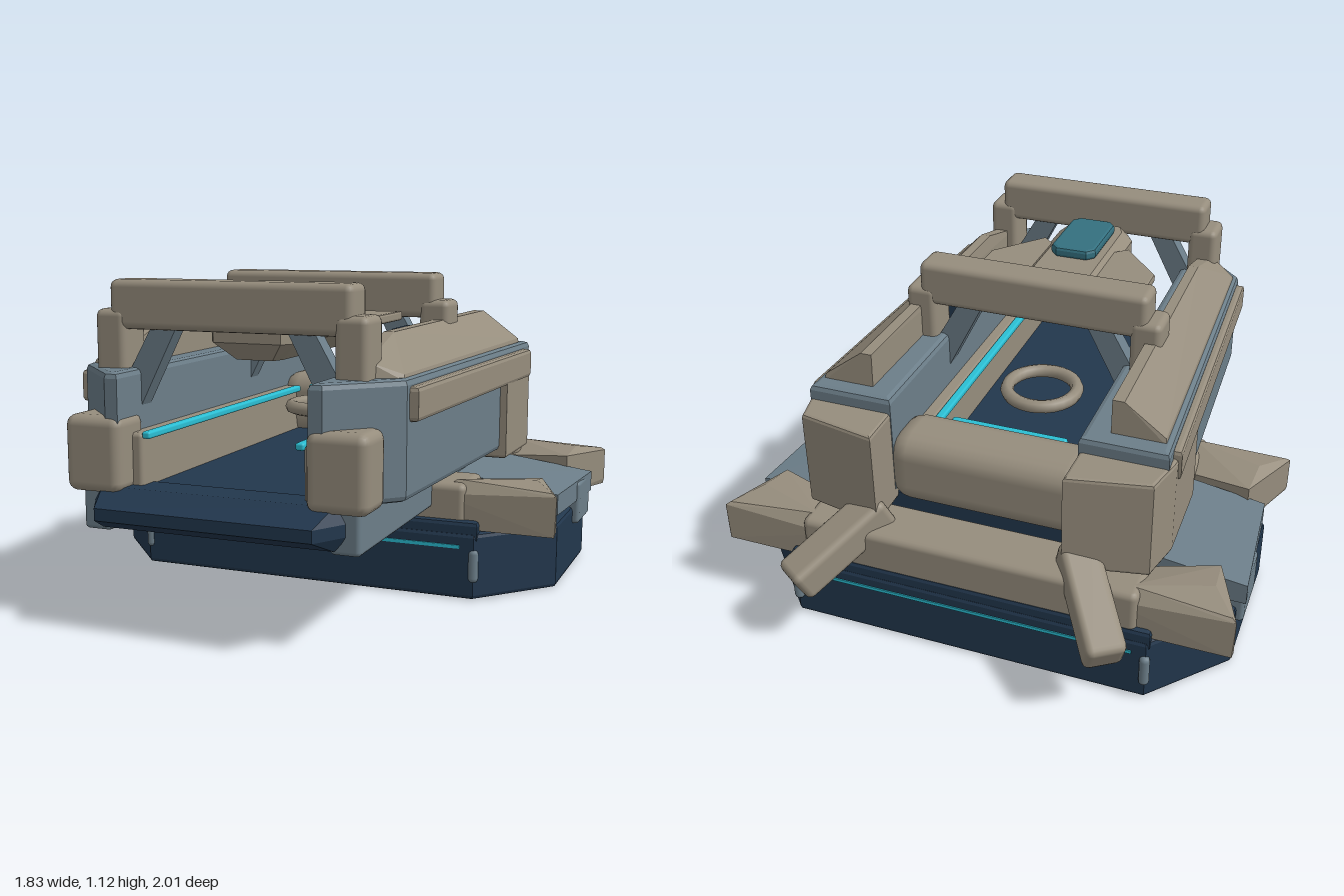
import * as THREE from 'three';
import { RoundedBoxGeometry } from 'three/addons/geometries/RoundedBoxGeometry.js';
import { ConvexGeometry } from 'three/addons/geometries/ConvexGeometry.js';

function mat(name, color) {
  const m = new THREE.MeshStandardMaterial({ color });
  m.name = name;
  return m;
}

export function createModel() {
  const group = new THREE.Group();
  const tan = mat('tan shell', 0x968d7d);
  const slate = mat('slate panel', 0x6c7e89);
  const navy = mat('navy body', 0x22374d);
  const cyan = mat('cyan light', 0x2bbfd4);
  const teal = mat('teal screen', 0x34707f);

  const add = (name, geo, material) => {
    const mesh = new THREE.Mesh(geo, material);
    mesh.name = name;
    group.add(mesh);
    return mesh;
  };
  // Rounded box given by its limits
  const box = (name, material, x0, x1, y0, y1, z0, z1, r = 0.025) => {
    const w = Math.abs(x1 - x0), h = y1 - y0, d = z1 - z0;
    const geo = r > 0 ? new RoundedBoxGeometry(w, h, d, 2, Math.min(r, w / 2.1, h / 2.1, d / 2.1))
      : new THREE.BoxGeometry(w, h, d);
    geo.translate((x0 + x1) / 2, (y0 + y1) / 2, (z0 + z1) / 2);
    return add(name, geo, material);
  };
  // Upright prism over an (x, z) outline with chamfered rims
  const prism = (name, material, plan, y0, y1, b = 0.015) => {
    const shape = new THREE.Shape(plan.map(([x, z]) => new THREE.Vector2(x, -z)));
    const geo = new THREE.ExtrudeGeometry(shape, {
      depth: y1 - y0 - 2 * b, bevelEnabled: b > 0, bevelThickness: b, bevelSize: b, bevelOffset: -b, bevelSegments: 2,
    });
    geo.rotateX(-Math.PI / 2);
    geo.translate(0, y0 + b, 0);
    return add(name, geo, material);
  };
  const hull = (name, material, pts) =>
    add(name, new ConvexGeometry(pts.map((p) => new THREE.Vector3(...p))), material);

  // Octagonal base with a raised centre
  const octagon = [[0.64, 0.21], [0.875, -0.05], [0.875, -0.55], [0.64, -0.81],
    [-0.64, -0.81], [-0.875, -0.55], [-0.875, -0.05], [-0.64, 0.21]];
  prism('base', navy, octagon, 0, 0.235);
  prism('baseTop', navy, [[0.65, 0.205], [0.65, -0.805], [-0.65, -0.805], [-0.65, 0.205]], 0.2, 0.275);
  box('pedestal', navy, -0.4, 0.4, 0.2, 0.44, -0.58, 0.12, 0);
  box('frontCollar', tan, -0.6, 0.6, 0.25, 0.4, -0.05, 0.185);
  box('rearCollar', tan, -0.6, 0.6, 0.25, 0.41, -0.8, -0.6);
  box('frontLightStrip', cyan, -0.59, 0.59, 0.18, 0.192, 0.207, 0.214, 0);
  box('rearLightStrip', cyan, -0.59, 0.59, 0.18, 0.192, -0.814, -0.807, 0);

  // Bed tray: floor slab with a pointed front lip
  const lip = [];
  for (const s of [-1, 1]) {
    for (const y of [0.325, 0.46]) lip.push([s * 0.41, y, 0.78], [s * 0.4, y, 0.9]);
    for (const y of [0.37, 0.41]) lip.push([s * 0.44, y, 0.88], [s * 0.37, y, 1.0]);
  }
  hull('frontLip', navy, lip);
  box('bedFloor', navy, -0.42, 0.42, 0.32, 0.455, -0.58, 0.85, 0.02);

  // Head end: bolster, lit panel and ring
  box('headBolster', tan, -0.36, 0.36, 0.42, 0.685, -0.62, -0.375, 0.08);
  box('headLight', cyan, -0.215, 0.215, 0.555, 0.645, -0.375, -0.345, 0.012);
  const ring = new THREE.TorusGeometry(0.13, 0.025, 8, 28);
  ring.rotateX(Math.PI / 2).translate(0, 0.615, -0.02);
  add('headRing', ring, tan);

  for (const s of [1, -1]) {
    const m = (pts) => pts.map(([x, ...rest]) => [s * x, ...rest]);

    // Base: corner feet, side slab and marker lights
    for (const k of [1, -1]) {
      const z = (v) => -0.305 + k * (v + 0.305);
      hull('cornerFoot', tan, m([
        [0.91, 0.24, z(0.175)], [0.81, 0.24, z(-0.08)], [0.5, 0.24, z(0.175)], [0.5, 0.24, z(0)],
        [0.915, 0.26, z(0.17)], [0.915, 0.38, z(0.17)], [0.9, 0.39, z(0.16)], [0.81, 0.39, z(-0.08)],
        [0.82, 0.41, z(0.05)], [0.56, 0.41, z(0.14)], [0.5, 0.36, z(0.175)], [0.5, 0.36, z(0)]]));
      const pill = new THREE.CapsuleGeometry(0.018, 0.085, 4, 10);
      pill.translate(s * 0.637, 0.12, z(0.199));
      add('markerLight', pill, slate);
    }
    hull('sideSlab', slate, m([
      [0.5, 0.26, -0.06], [0.5, 0.26, -0.54], [0.5, 0.39, -0.06], [0.5, 0.39, -0.54],
      [0.87, 0.26, -0.07], [0.905, 0.26, -0.54], [0.87, 0.335, -0.07], [0.905, 0.335, -0.54]]));
    box('sideSlabLip', slate, s * 0.8, s * 0.9, 0.17, 0.33, -0.535, -0.33, 0.015);

    // Rear strut angled down and outward
    const a = new THREE.Vector3(s * 0.35, 0.45, -0.67), b = new THREE.Vector3(s * 0.55, 0.275, -0.965);
    const strut = add('rearStrut', new RoundedBoxGeometry(0.135, 0.125, a.distanceTo(b), 2, 0.025), tan);
    strut.position.copy(a).lerp(b, 0.5);
    strut.lookAt(b);

    // Side rail with lower skirt, rear block and front block
    prism('sideRail', slate, m([[0.33, -0.6], [0.63, -0.6], [0.565, 0.72], [0.37, 0.92], [0.325, 0.92]]), 0.45, 0.83, 0.02);
    box('lowerSkirt', slate, s * 0.38, s * 0.48, 0.31, 0.46, -0.55, 0.89, 0.015);
    prism('rearBlock', tan, m([[0.33, -0.755], [0.61, -0.7], [0.645, -0.55], [0.638, -0.23], [0.34, -0.23]]), 0.42, 0.775, 0.012);
    box('frontBlock', tan, s * 0.315, s * 0.52, 0.44, 0.69, 0.77, 0.935, 0.035);
    prism('sideStrip', tan, m([[0.56, -0.535], [0.655, -0.535], [0.595, 0.7], [0.5, 0.7]]), 0.695, 0.805, 0.015);

    // Sloped armrest panel on top of the rail
    hull('armrest', tan, m([
      [0.605, 0.82, -0.54], [0.6, 0.845, -0.535], [0.46, 0.95, -0.535], [0.42, 0.95, -0.535], [0.42, 0.82, -0.54],
      [0.55, 0.82, 0.7], [0.545, 0.84, 0.69], [0.445, 0.95, 0.5], [0.41, 0.95, 0.5],
      [0.45, 0.88, 0.75], [0.4, 0.88, 0.75], [0.45, 0.82, 0.76], [0.4, 0.82, 0.76]]));

    // Inner ledge and light strip
    box('innerLedge', tan, s * 0.28, s * 0.36, 0.44, 0.63, -0.4, 0.85, 0.015);
    box('innerLight', cyan, s * 0.252, s * 0.282, 0.612, 0.636, -0.36, 0.85, 0.008);

    // Arch posts and diagonal braces
    for (const z of [0.74, -0.08]) {
      box('archPost', tan, s * 0.36, s * 0.472, 0.8, 1.02, z - 0.07, z + 0.07);
      const brace = [];
      for (const d of [-0.03, 0.03]) {
        for (const [x, y] of [[0.28, 0.97], [0.19, 0.97], [0.335, 0.69], [0.36, 0.69], [0.36, 0.83]]) brace.push([s * x, y, z + d]);
      }
      hull('archBrace', slate, brace);
    }

    // Canopy wing
    prism('canopyWing', tan, m([[0.1, 0.14], [0.14, 0.125], [0.325, 0.07], [0.325, 0.31], [0.17, 0.495], [0.1, 0.43]]), 0.952, 0.985, 0.008);
  }

  // Overhead arches
  for (const z of [0.74, -0.08]) box('archBar', tan, -0.42, 0.42, 0.955, 1.115, z - 0.065, z + 0.065);

  // Suspended canopy pod with screen
  const pod = [];
  for (const s of [-1, 1]) {
    for (const [x, y, z0, z1] of [[0.08, 0.85, 0.06, 0.58], [0.15, 0.91, -0.02, 0.64],
      [0.15, 0.965, -0.02, 0.64], [0.11, 1.0, -0.01, 0.63]]) {
      pod.push([s * x, y, z0], [s * x, y, z1 - 0.03], [s * x * 0.8, y, z1 + 0.02]);
    }
  }
  hull('canopyPod', tan, pod);
  prism('canopyScreen', teal, [[0.06, 0.3], [0.087, 0.33], [0.087, 0.575], [0.06, 0.605],
    [-0.06, 0.605], [-0.087, 0.575], [-0.087, 0.33], [-0.06, 0.3]], 1.0, 1.04, 0.012);

  // Small control box on the left rail
  box('controlBox', navy, 0.315, 0.405, 0.82, 0.93, 0, 0.16, 0.01);
  return group;
}
